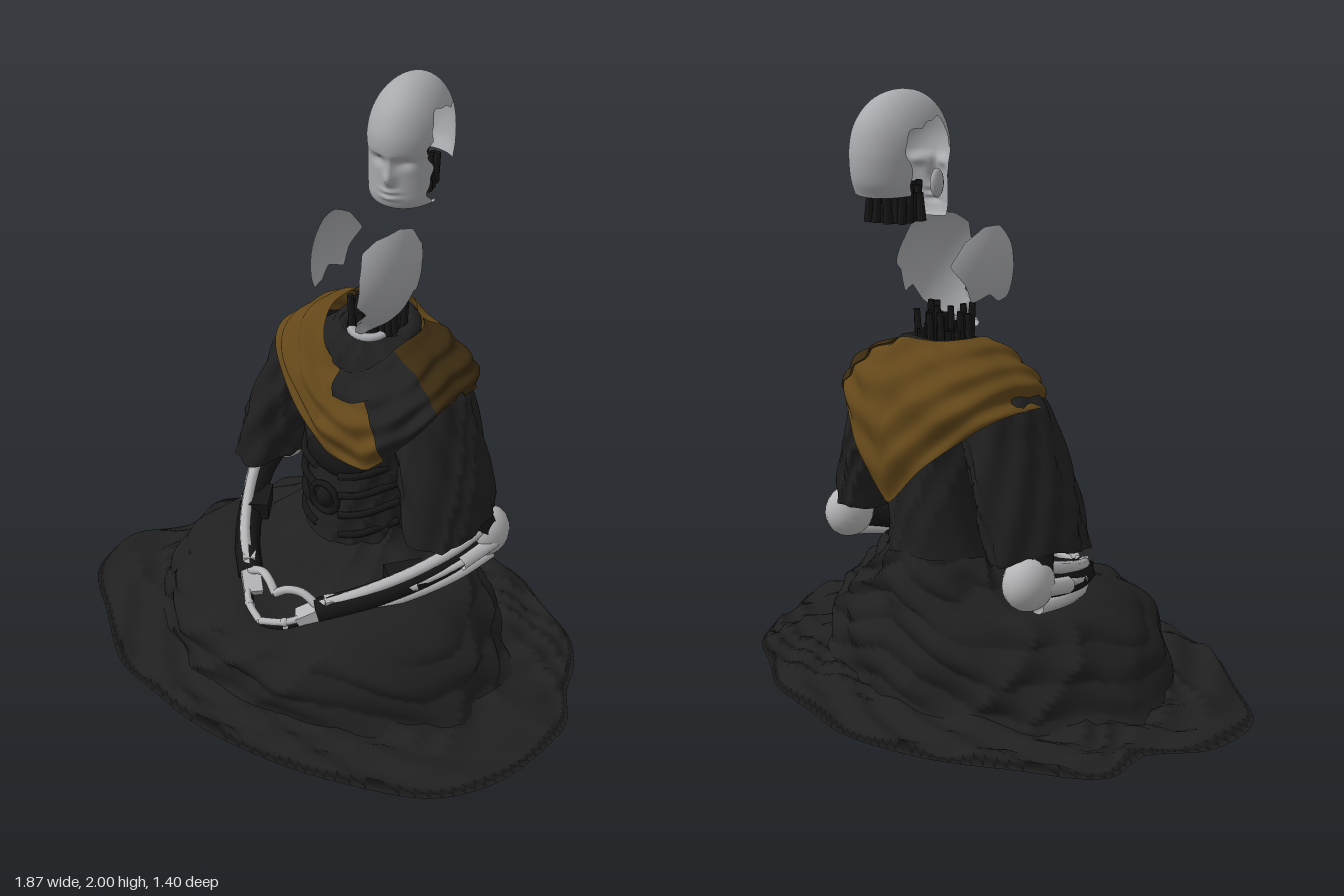
import * as THREE from 'three';
import { ParametricGeometry } from 'three/addons/geometries/ParametricGeometry.js';

const mat = (name, color) => {
  const m = new THREE.MeshStandardMaterial({ color, side: THREE.DoubleSide });
  m.name = name;
  return m;
};
const V = (x, y, z) => new THREE.Vector3(x, y, z);
const bump = (d, w) => Math.exp(-(d / w) * (d / w));

export function createModel() {
  const cloth = mat('black cloth', 0x202020);
  const scarfMat = mat('brown cloth', 0x634719);
  const scarfDark = mat('dark brown cloth', 0x3a2a10);
  const shell = mat('grey shell', 0xa9aaae);
  const armor = mat('pale armour', 0xb6b6b8);
  const machine = mat('dark machinery', 0x161616);
  const root = new THREE.Group();

  const add = (name, geo, m, parent = root, pos = [0, 0, 0]) => {
    const mesh = new THREE.Mesh(geo, m);
    mesh.name = name;
    mesh.position.set(...pos);
    parent.add(mesh);
    return mesh;
  };
  const surface = (fn, nu, nv) => new ParametricGeometry(fn, nu, nv);
  const tube = (pts, r, seg = 16) =>
    new THREE.TubeGeometry(new THREE.CatmullRomCurve3(pts.map(p => V(...p))), seg, r, 7);

  // Smooth interpolation between cross-sections [y, cx, cz, rx, rz]
  const sample = (rings, v) => {
    const n = rings.length - 1, s = Math.min(v * n, n - 1e-6), i = Math.floor(s), t = s - i;
    const at = k => rings[Math.max(0, Math.min(n, k))];
    return at(i).map((b, k) => {
      const a = at(i - 1)[k], c = at(i + 1)[k], d = at(i + 2)[k];
      return 0.5 * (2 * b + (c - a) * t + (2 * a - 5 * b + 4 * c - d) * t * t + (3 * b - a - 3 * c + d) * t * t * t);
    });
  };
  // Sharp-crested drapery folds, periodic around the body
  const folds = (a, y, k) =>
    0.5 - Math.abs(Math.sin(k * a + 9 * y + 1.5 * Math.sin(3 * a + 7 * y))) +
    0.5 * Math.sin((k + 4) * a - 22 * y + Math.sin(2 * a));
  const loft = (rings, amp, k, nu, nv, tweak) => surface((u, v, p) => {
    const a = -2 * Math.PI * u, [y, cx, cz, rx, rz] = sample(rings, v);
    const f = amp * folds(a, y, k) * Math.min(1, rx / 0.12);
    p.set(cx + (rx + f) * Math.cos(a), y, cz + (rz + f) * Math.sin(a));
    if (tweak) tweak(p, a);
  }, nu, nv);

  // Spread hem of the robe lying on the ground
  const outline = new THREE.CatmullRomCurve3([
    [0.93, 0.05], [0.92, -0.1], [0.83, -0.24], [0.78, -0.36], [0.68, -0.48], [0.5, -0.57], [0.35, -0.65],
    [0.12, -0.68], [-0.08, -0.7], [-0.25, -0.66], [-0.42, -0.59], [-0.6, -0.47], [-0.84, -0.29], [-0.82, -0.1],
    [-0.93, 0.08], [-0.9, 0.32], [-0.68, 0.49], [-0.45, 0.64], [-0.3, 0.67], [0, 0.7], [0.3, 0.66], [0.5, 0.6],
    [0.78, 0.46], [0.9, 0.27]].map(([x, z]) => V(x, 0, z)), true);
  add('robeHem', surface((u, v, p) => {
    const q = outline.getPoint(u % 1), a = 2 * Math.PI * u;
    const top = v > 0.401, s = top ? 1 - (v - 0.4) * 0.75 : v / 0.4;
    const y = top ? 0.03 + 0.11 * (1 - s) + 0.018 * folds(a, s * 1.5, 8) : 0.008;
    p.set(q.x * s, Math.max(0.008, y), q.z * s);
  }, 144, 25), cloth);
  // Pale plates showing beneath the hem on either side
  for (const [x, z] of [[0.82, -0.08], [-0.73, -0.13]]) {
    const sole = add('solePlate', new THREE.CylinderGeometry(1, 1, 0.008, 20), armor, root, [x, 0.004, z]);
    sole.scale.set(0.07, 1, 0.12);
  }

  // Crossed legs under the robe, with a hollow in the lap and swags over the knees
  add('robeLap', loft([
    [0.02, 0, 0.03, 0.72, 0.53], [0.08, 0, 0.03, 0.66, 0.515], [0.2, 0, 0.035, 0.605, 0.51], [0.28, 0, 0.02, 0.545, 0.475],
    [0.345, 0, -0.03, 0.46, 0.4], [0.38, 0, -0.11, 0.35, 0.32], [0.45, 0, -0.18, 0.25, 0.24], [0.52, 0, -0.19, 0.21, 0.2],
  ], 0.02, 5, 160, 60, (p, a) => {
    p.y -= 0.09 * bump(p.x, 0.2) * bump(p.z - 0.3, 0.18) * Math.min(1, p.y / 0.25);
    const swag = Math.abs(Math.sin(34 * p.y + 7 * Math.abs(p.x) + 0.8 * Math.sin(5 * a))) - 0.6;
    const w = 0.014 * swag * Math.min(1, p.y / 0.1);
    p.x += w * Math.cos(a);
    p.z += w * Math.sin(a);
  }), cloth);

  add('torso', loft([
    [0.36, 0, -0.17, 0.23, 0.24], [0.5, 0, -0.165, 0.215, 0.22], [0.62, 0, -0.165, 0.205, 0.215], [0.8, 0, -0.17, 0.24, 0.2],
    [0.95, 0, -0.19, 0.28, 0.19], [1.05, 0, -0.19, 0.29, 0.17], [1.12, 0, -0.19, 0.22, 0.15], [1.19, 0, -0.2, 0.12, 0.12],
  ], 0.008, 5, 72, 40), cloth);

  // Mechanical belly: central ring, ribs and chest plate
  add('bellyRing', new THREE.TorusGeometry(0.055, 0.012, 6, 20), machine, root, [-0.01, 0.6, 0.055]);
  add('bellyHub', new THREE.SphereGeometry(0.04, 12, 8), machine, root, [-0.01, 0.6, 0.04]);
  const plate = add('chestPlate', new THREE.SphereGeometry(0.13, 12, 8), machine, root, [0, 0.75, 0]);
  plate.scale.set(1, 0.6, 0.4);
  for (const s of [-1, 1]) for (let i = 0; i < 4; i++) {
    const y = 0.47 + i * 0.08;
    add('bellyRib', tube([[s * 0.05, y, 0.05], [s * 0.12, y + 0.02, 0.025], [s * 0.2, y + 0.05, -0.09]], 0.013, 8), machine);
  }

  // Both arms: sleeve, elbow, skeletal forearm and hand
  for (const s of [1, -1]) {
    const arm = new THREE.Group();
    arm.name = s > 0 ? 'leftArm' : 'rightArm';
    arm.scale.x = s;
    root.add(arm);
    add('sleeve', loft([
      [0.7, 0.36, -0.14, 0.03, 0.05], [0.62, 0.375, -0.14, 0.11, 0.17], [0.585, 0.378, -0.14, 0.125, 0.19],
      [0.7, 0.355, -0.15, 0.128, 0.19], [0.82, 0.32, -0.16, 0.127, 0.185], [0.95, 0.28, -0.17, 0.12, 0.165],
      [1.05, 0.245, -0.18, 0.112, 0.14], [1.12, 0.19, -0.19, 0.065, 0.085],
    ], 0.012, 4, 56, 40, p => { p.y += 0.02 * Math.sin(14 * p.z + 9 * p.x) * bump(p.y - 0.58, 0.06); }), cloth, arm);
    add('upperArm', tube([[0.38, 0.7, -0.15], [0.43, 0.6, -0.2], [0.455, 0.53, -0.23]], 0.06), machine, arm);
    const elbow = add('elbow', new THREE.SphereGeometry(0.09, 18, 12), armor, arm, [0.452, 0.51, -0.25]);
    elbow.scale.set(0.85, 1, 1);
    const bone = (dx, dy, dz) => [[0.46, 0.5, -0.24], [0.43, 0.465, -0.1], [0.36, 0.42, 0.04], [0.25, 0.37, 0.19], [0.15, 0.33, 0.28]]
      .map(([x, y, z], i) => { const k = 1 - i * 0.16; return [x + dx * k, y + dy * k, z + dz * k]; });
    add('forearmCore', tube(bone(0, 0, 0), 0.045), machine, arm);
    add('forearmUpperRod', tube(bone(0.018, 0.065, 0), 0.021), armor, arm);
    add('forearmLowerRod', tube(bone(0.022, -0.065, 0), 0.023), armor, arm);
    add('forearmOuterRod', tube(bone(0.052, 0.012, -0.005), 0.014), armor, arm);
    // Side plates split by dark gaps, and a wrist cuff
    const side = bone(0.04, 0, 0.01);
    add('forearmPlate', tube([side[0], side[1]], 0.028, 4), armor, arm);
    add('forearmPlate', tube([side[2], side[3]], 0.02, 4), armor, arm);
    add('wristCuff', new THREE.BoxGeometry(0.045, 0.075, 0.075), armor, arm, [0.195, 0.347, 0.24]).rotation.y = -0.7;
    add('forearmPanel', new THREE.BoxGeometry(0.07, 0.06, 0.13), machine, arm, [0.325, 0.425, 0.035]).rotation.y = -0.6;
    const palm = add('palm', new THREE.BoxGeometry(0.1, 0.045, 0.065), armor, arm, [0.135, 0.32, 0.295]);
    palm.rotation.set(0, 0.7, 0.5);
    for (let i = 0; i < 4; i++) {
      const o = i * 0.022;
      add('finger', tube([[0.15, 0.325 - o * 0.6, 0.3 - o * 0.3], [0.08, 0.3 - o, 0.37 - o * 0.4], [0, 0.285 - o, 0.405 - o * 0.4]],
        0.013, 10), i % 2 ? machine : armor, arm);
      add('knuckle', new THREE.SphereGeometry(0.016, 8, 6), i > 2 ? machine : armor, arm, [0.08, 0.3 - o, 0.37 - o * 0.4]);
    }
    add('thumb', tube([[0.16, 0.345, 0.28], [0.09, 0.382, 0.29], [0.04, 0.382, 0.31], [0, 0.355, 0.325]], 0.015), armor, arm);
  }

  // Scarf: pointed at front and back, with dark folds over the left shoulder
  const scarf = (name, a0, a1, m, lift, v0 = 0) => add(name, surface((u, w, p) => {
    const v = v0 + (1 - v0) * w;
    const a = (a1 + (a0 - a1) * u) * Math.PI / 180, c = Math.cos(a), si = Math.sin(a);
    const front = Math.max(0, si), z = Math.sign(si) * Math.pow(Math.abs(si), 0.75);
    const tip = si > 0 ? Math.min(0.23, (1 - Math.abs(c)) * 0.3) : (1 - Math.abs(c)) * 0.33;
    const h = Math.pow(v, 1 + 0.9 * Math.abs(si));
    const ripple = Math.sin(v * 22 + 5 * c + 2 * si) + 0.7 * Math.sin(v * 13 - 9 * c + 3 * si);
    const swell = 0.03 * Math.sin(Math.PI * v) + lift + 0.008 * ripple * (1 - v * 0.4);
    const mix = (lo, hi, t) => lo + (hi - lo) * t;
    p.set(mix(0.365, 0.15, h) * c + swell * c + 0.1 * front * front * (1 - v),
      mix(1.03 - tip, 1.23 - 0.15 * front * front - 0.05 * Math.max(0, c), v) + swell * 0.5,
      -0.19 + mix(0.26, 0.16, h) * z + swell * si);
  }, 90, 44), m);
  scarf('scarf', 64, 320, scarfMat, 0);
  scarf('scarfShoulderFold', -42, 24, scarfDark, 0.006);
  scarf('scarfFrontFold', 22, 65, cloth, 0.008);
  scarf('scarfNeckFold', 60, 92, cloth, 0.012, 0.72);
  const collar = add('collar', new THREE.TorusGeometry(0.12, 0.035, 8, 28), cloth, root, [0, 1.16, -0.2]);
  collar.rotation.x = Math.PI / 2 + 0.25;

  // Torn cable stumps in the neck and under the skull
  const cables = (name, parent, n, rx, rz, cx, cz, y0, y1, jag) => {
    for (let i = 0; i < n; i++) {
      const a = i * 2.4, r = Math.sqrt((i + 0.5) / n), h = y1 - y0 - jag * (0.5 + 0.5 * Math.sin(i * 5.3));
      const c = add(name, new THREE.CylinderGeometry(0.011, 0.015, h, 6), machine, parent,
        [cx + rx * r * Math.cos(a), y0 + h / 2, cz + rz * r * Math.sin(a)]);
      c.rotation.z = 0.08 * Math.sin(i * 3.1);
    }
  };
  cables('neckCable', root, 30, 0.1, 0.09, 0.01, -0.19, 1.05, 1.31, 0.09);

  // Floating cheek fragments, domed from an outline in z and y
  const fragment = (name, side, pts) => {
    const edge = new THREE.CatmullRomCurve3(pts.map(([z, y]) => V(0, y, z)), true, 'catmullrom', 0.2);
    add(name, surface((u, v, p) => {
      const q = edge.getPoint(u % 1), z = -0.13 + (q.z + 0.13) * v, y = 1.43 + (q.y - 1.43) * v;
      const d = 1 - ((y - 1.43) / 0.24) ** 2 - ((z + 0.15) / 0.2) ** 2;
      p.set(side * 0.168 * Math.sqrt(Math.max(0.2, d)), y, z);
    }, 64, 12), shell);
  };
  fragment('leftCheekFragment', 1, [[-0.01, 1.54], [-0.06, 1.575], [-0.15, 1.585], [-0.22, 1.56], [-0.25, 1.51], [-0.31, 1.45],
    [-0.26, 1.41], [-0.25, 1.34], [-0.2, 1.35], [-0.17, 1.3], [-0.12, 1.26], [-0.05, 1.23], [0, 1.26], [-0.02, 1.32], [0.01, 1.36], [0.01, 1.46]]);
  fragment('rightCheekFragment', -1, [[-0.01, 1.5], [-0.07, 1.565], [-0.15, 1.57], [-0.23, 1.53], [-0.28, 1.46], [-0.24, 1.4],
    [-0.21, 1.34], [-0.15, 1.36], [-0.1, 1.33], [-0.03, 1.34], [0.01, 1.42]]);
  const jaw = add('jawFragment', new THREE.TorusGeometry(0.055, 0.018, 6, 14, Math.PI * 0.8), shell, root, [0.06, 1.225, -0.09]);
  jaw.rotation.x = Math.PI / 2;
  jaw.scale.z = 0.7;

  // Open skull: a band from chin over the crown to the nape, its sides missing
  const head = new THREE.Group();
  head.name = 'head';
  head.position.set(0, 0, -0.37);
  head.rotation.y = 0.25;
  root.add(head);
  const profile = new THREE.CatmullRomCurve3([[0.1, 1.605], [0.15, 1.603], [0.165, 1.63], [0.168, 1.67], [0.17, 1.72], [0.175, 1.77],
    [0.187, 1.8], [0.188, 1.86], [0.155, 1.935], [0.09, 1.985], [0, 2], [-0.09, 1.98], [-0.16, 1.92], [-0.188, 1.83],
    [-0.18, 1.74], [-0.155, 1.69]].map(([z, y]) => V(0, y, z)));
  add('skullShell', surface((u, v, p) => {
    const q = profile.getPoint(u), lim = 0.108 + 0.005 * Math.sin(u * 29) + 0.002 * Math.sin(u * 71);
    const x = lim * Math.sin((0.5 - v) * Math.PI), k = Math.sqrt(1 - (x / 0.132) ** 2);
    const cy = q.y < 1.8 ? 1.8 + (q.y - 1.8) * 0.85 : 1.8;
    let z = q.z * k;
    const y = cy + (q.y - cy) * k;
    if (q.z > 0.08) {
      z += 0.026 * bump(x, 0.018) * bump(y - 1.712, 0.026) + 0.012 * bump(x, 0.012) * bump(y - 1.75, 0.03);
      z -= 0.014 * bump(Math.abs(x) - 0.045, 0.025) * bump(y - 1.768, 0.018);
      z += 0.01 * bump(x, 0.03) * (bump(y - 1.668, 0.009) + bump(y - 1.645, 0.009));
    }
    p.set(x, y, z);
  }, 140, 36), shell, head);
  const ear = add('ear', new THREE.SphereGeometry(0.045, 12, 10), shell, head, [-0.108, 1.72, 0.04]);
  ear.scale.set(0.35, 1, 0.65);
  cables('skullCable', head, 34, 0.085, 0.09, -0.01, -0.04, 1.61, 1.725, 0.03);
  return root;
}
